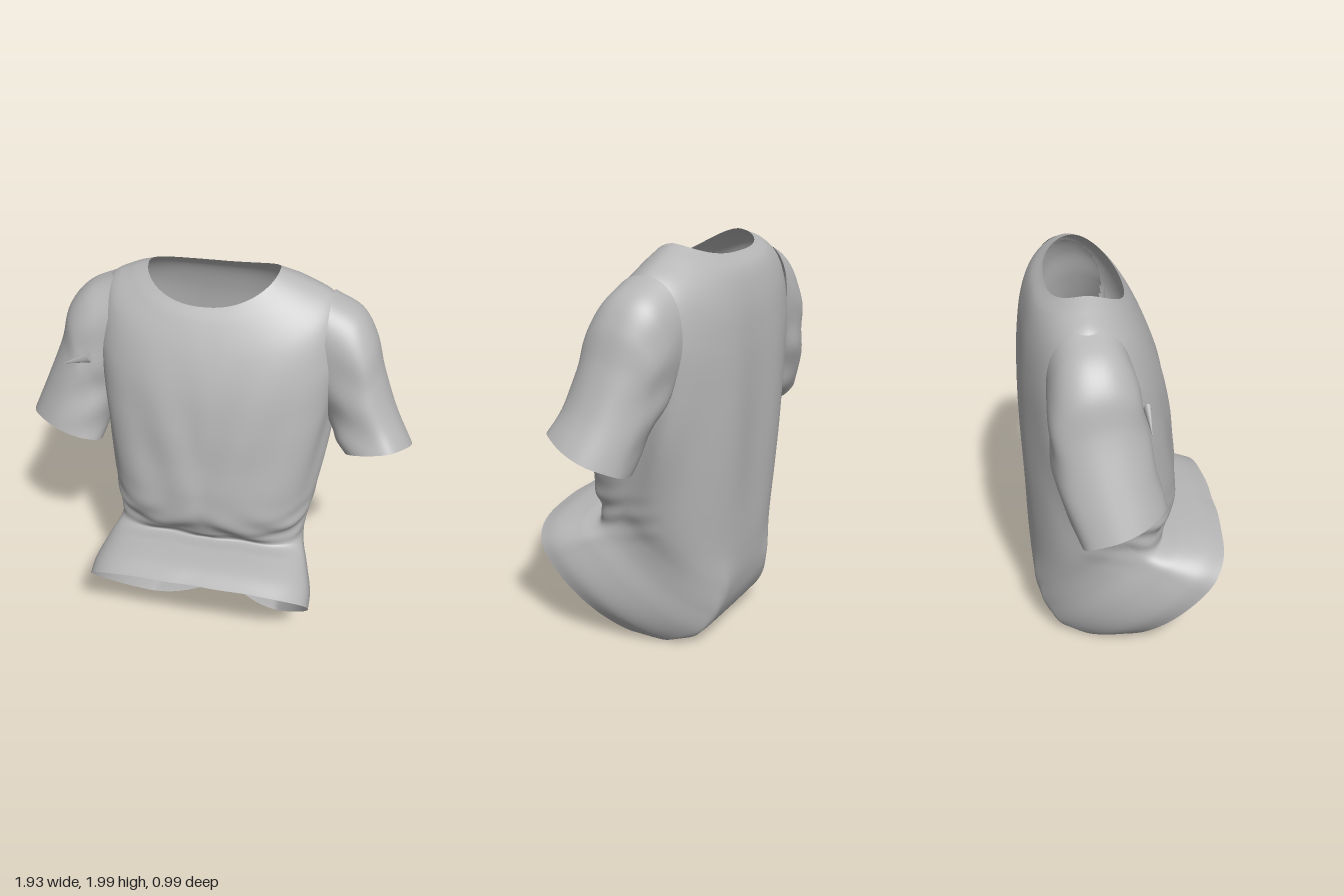
import * as THREE from 'three';

const cloth = new THREE.MeshStandardMaterial({ color: 0xb6b6b6, side: THREE.DoubleSide });
cloth.name = 'grey cloth';

// Smooth surface through closed rings; ring(k, t) gives a point of ring k at angle t,
// and hole(p) tells where the cloth is left open
function loft(name, count, ring, wrinkle, around, along, hole = () => false) {
  const pos = [], open = [], index = [];
  for (let i = 0; i < around; i++) {
    const t = (i / around) * Math.PI * 2;
    const pts = [];
    for (let k = 0; k < count; k++) pts.push(ring(k, t));
    const curve = new THREE.CatmullRomCurve3(pts, false, 'centripetal');
    for (let j = 0; j <= along; j++) {
      const p = curve.getPoint(j / along);
      wrinkle(p, t, j / along);
      pos.push(p.x, p.y, p.z);
      open.push(hole(p));
    }
  }
  for (let i = 0; i < around; i++) {
    for (let j = 0; j < along; j++) {
      const a = i * (along + 1) + j, b = ((i + 1) % around) * (along + 1) + j;
      if (!open[a] && !open[b]) index.push(a, a + 1, b, b, a + 1, b + 1);
    }
  }
  const geo = new THREE.BufferGeometry();
  geo.setAttribute('position', new THREE.Float32BufferAttribute(pos, 3));
  geo.setIndex(index);
  geo.computeVertexNormals();
  const mesh = new THREE.Mesh(geo, cloth);
  mesh.name = name;
  return mesh;
}

const bump = (v, mid, width) => Math.exp(-(((v - mid) / width) ** 2));
const spow = (v, p) => Math.sign(v) * Math.abs(v) ** p;

// Body rings, neck to hem: half width, side y z, front y z, back y z, front and back corner power
const body = [
  [0.31, 1.985, -0.19, 1.87, 0.01, 1.93, -0.35, 0.9, 0.8],
  [0.42, 1.945, -0.2, 1.81, 0.05, 1.87, -0.41, 0.88, 0.8],
  [0.54, 1.88, -0.2, 1.67, 0.12, 1.74, -0.455, 0.86, 0.78],
  [0.59, 1.71, -0.2, 1.5, 0.18, 1.55, -0.48, 0.84, 0.76],
  [0.58, 1.48, -0.18, 1.3, 0.22, 1.3, -0.49, 0.82, 0.75],
  [0.56, 1.24, -0.15, 1.12, 0.24, 1.05, -0.49, 0.8, 0.75],
  [0.53, 1.0, -0.11, 0.95, 0.26, 0.78, -0.485, 0.78, 0.77],
  [0.5, 0.8, -0.07, 0.8, 0.26, 0.5, -0.48, 0.75, 0.8],
  [0.475, 0.69, -0.02, 0.7, 0.215, 0.33, -0.465, 0.72, 0.85],
  [0.48, 0.61, 0.04, 0.65, 0.185, 0.2, -0.43, 0.7, 0.92],
  [0.52, 0.53, 0.14, 0.645, 0.27, 0.08, -0.35, 0.68, 1],
  [0.56, 0.44, 0.25, 0.63, 0.4, 0.012, -0.19, 0.68, 1.07],
  [0.565, 0.4, 0.33, 0.595, 0.495, 0.012, 0, 0.68, 1.1],
];
function bodyRing(k, t) {
  const [w, sy, sz, fy, fz, by, bz, pf, pb] = body[k];
  const c = Math.cos(t), s = Math.sin(t), p = c > 0 ? pf : pb;
  // the seat flattens out with bevelled corners towards the hem
  const flat = c < 0 ? 1 + 0.07 * Math.max(0, k - 7) : 1;
  const f = Math.min(1, flat * Math.abs(c) ** p);
  const ey = c > 0 ? fy : by, ez = c > 0 ? fz : bz;
  const top = Math.max(0, 1 - k / 2), round = 1.7 - 0.7 * Math.min(1, k / 7);
  return new THREE.Vector3(
    -0.04 * top + w * spow(s, p),
    sy + (ey - sy) * f ** round + 0.013 * top * s,
    sz + (ez - sz) * f);
}
function bodyWrinkle(p, t, v) {
  const c = Math.cos(t), s = Math.sin(t), front = Math.max(0, c), side = Math.abs(s);
  // bunched folds at the waist, strongest at the sides
  const waist = bump(p.y, 0.72, 0.12) * Math.max(0, c + 0.4);
  p.z += 0.006 * waist * Math.sin(Math.abs(p.x) * 22 + p.y * 30);
  p.x += 0.01 * waist * side * Math.sin(p.y * 55 + p.z * 18) * Math.sign(s);
  // long slanting drapes from chest and flanks
  const drape = bump(p.y, 1.15, 0.35);
  p.z += 0.006 * drape * front * Math.sin(Math.abs(p.x) * 24 - p.y * 7);
  p.x += 0.01 * drape * side ** 3 * Math.sin(p.z * 28 + p.y * 9) * Math.sign(s);
  // broad vertical folds on the back
  p.z += 0.008 * Math.max(0, -c) * bump(p.y, 1.1, 0.5) * Math.cos(p.x * 14);
  // lower hem pulled back and up in the middle
  if (c < 0) {
    p.z -= 0.13 * v ** 16 * bump(p.x, 0.03, 0.2);
    p.y += 0.045 * v ** 16 * bump(p.x, 0.05, 0.08);
  }
  p.y = Math.max(p.y, 0);
}
// Armholes under the sleeve caps
const armhole = (p) => Math.abs(p.x) > 0.45 && Math.hypot((p.z + 0.195) / 0.165, (p.y - 1.62) / 0.24) < 1;

// Sleeve rings, shoulder to cuff: outer x y, inner x y, front z, back z, front-to-back rise
const sleeves = {
  leftSleeve: [1, 0, [
    [0.52, 1.9, 0.5, 1.36, -0.01, -0.38, 0],
    [0.66, 1.83, 0.52, 1.31, 0.01, -0.375, 0],
    [0.735, 1.72, 0.55, 1.26, 0.025, -0.355, 0.02],
    [0.785, 1.56, 0.57, 1.23, 0.04, -0.33, 0.04],
    [0.865, 1.36, 0.59, 1.18, 0.065, -0.3, 0.08],
    [0.955, 1.2, 0.635, 1.12, 0.1, -0.27, 0.15],
  ]],
  rightSleeve: [-1, 0.07, [
    [0.52, 1.89, 0.5, 1.34, -0.01, -0.385, 0],
    [0.66, 1.82, 0.52, 1.27, 0.015, -0.39, 0],
    [0.75, 1.71, 0.54, 1.2, 0.03, -0.39, 0.02],
    [0.795, 1.54, 0.56, 1.14, 0.05, -0.375, 0.04],
    [0.875, 1.33, 0.58, 1.07, 0.08, -0.34, 0.07],
    [0.955, 1.13, 0.6, 1.02, 0.11, -0.28, 0.1],
  ]],
};

export function createModel() {
  const shirt = new THREE.Group();
  shirt.name = 'shirt';
  shirt.add(loft('body', body.length, bodyRing, bodyWrinkle, 200, 150, armhole));

  for (const [name, [side, skew, rings]] of Object.entries(sleeves)) {
    const ring = (k, t) => {
      const [ox, oy, ix, iy, fz, bz, rise] = rings[k];
      const c = spow(Math.cos(t), 0.85), s = -spow(Math.sin(t), 0.85) * side;
      return new THREE.Vector3(
        side * ((ox + ix) / 2 + ((ox - ix) / 2) * c - (skew * s * k) / rings.length),
        (oy + iy) / 2 + ((oy - iy) / 2) * c + (rise / 2) * s,
        (fz + bz) / 2 + ((fz - bz) / 2) * s);
    };
    // creases radiating from the armpit, and a wavy cuff
    const wrinkle = (p, t, v) => {
      const inner = 0.5 - 0.5 * Math.cos(t);
      p.z += 0.012 * inner * Math.sin(v * Math.PI) * Math.sin(p.y * 26 + p.x * side * 12);
      p.x += side * 0.008 * v * Math.sin(t * 4 + 1);
    };
    shirt.add(loft(name, rings.length, ring, wrinkle, 64, 40));
  }

  // small pinched fold on the right sleeve
  const pinch = new THREE.Mesh(new THREE.ConeGeometry(0.03, 0.15, 16), cloth);
  pinch.name = 'sleeveFold';
  pinch.scale.z = 0.6;
  pinch.position.set(-0.67, 1.52, 0.04);
  pinch.rotation.z = 1.97;
  shirt.add(pinch);
  return shirt;
}
